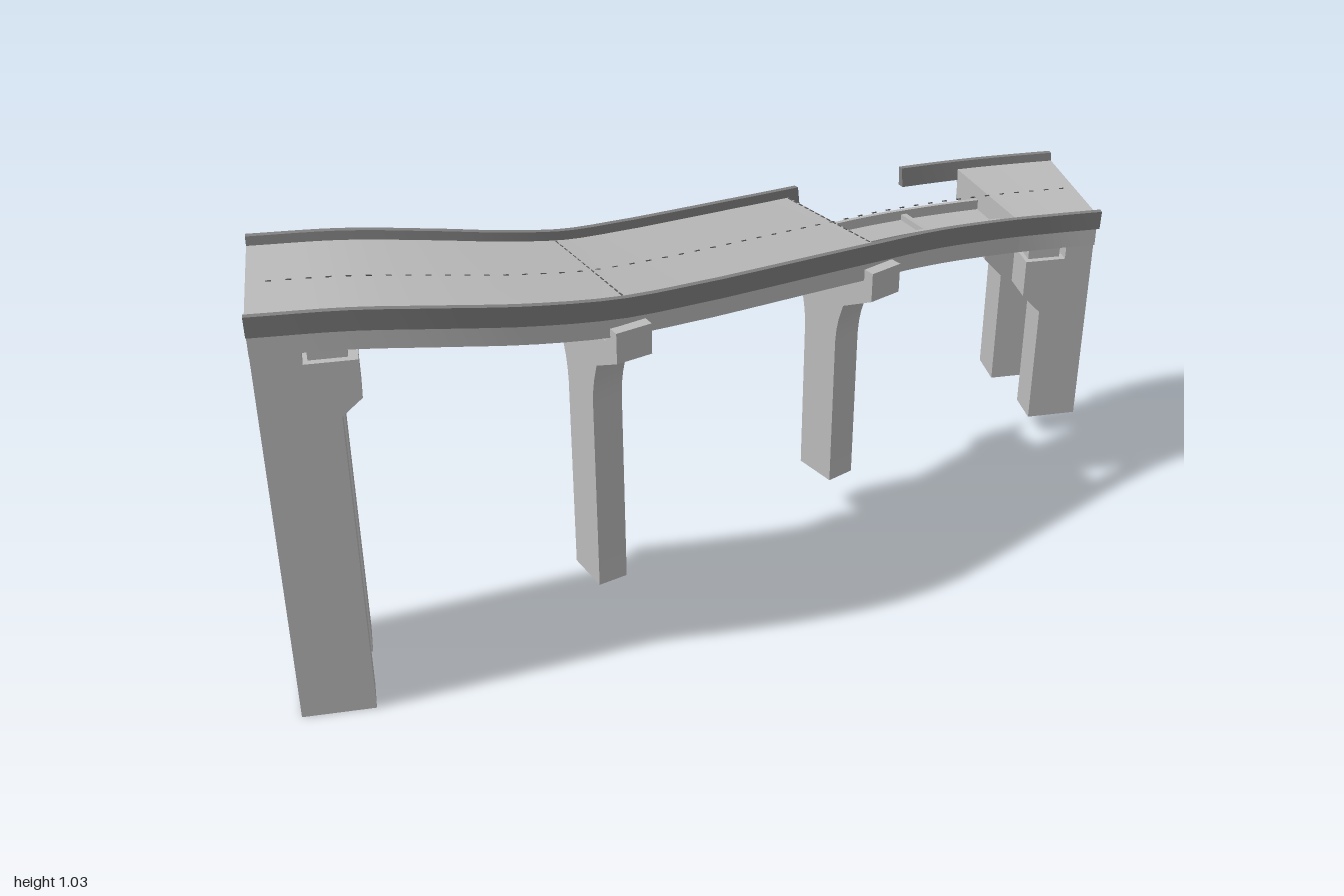
import * as THREE from 'three';
import { toCreasedNormals } from 'three/addons/utils/BufferGeometryUtils.js';

const mat = (name, color, side = THREE.FrontSide) => {
  const m = new THREE.MeshStandardMaterial({ color, side });
  m.name = name;
  return m;
};

export function createModel() {
  const root = new THREE.Group();
  root.name = 'brokenBridge';
  const concrete = mat('concrete', 0xbcbcbc);
  const parapetGrey = mat('parapetGrey', 0x828282);
  const markGrey = mat('markGrey', 0x5c5c5c);

  const add = (name, geo, material, parent = root) => {
    const m = new THREE.Mesh(geo, material);
    m.name = name;
    parent.add(m);
    return m;
  };
  const box = (name, x0, x1, y0, y1, z0, z1, material = concrete, parent = root) => {
    const m = add(name, new THREE.BoxGeometry(x1 - x0, y1 - y0, z1 - z0), material, parent);
    m.position.set((x0 + x1) / 2, (y0 + y1) / 2, (z0 + z1) / 2);
    return m;
  };

  // Centre line of the road; y is the height of the parapet tops
  const curve = new THREE.CatmullRomCurve3([
    [-1, 1.033, 0.28], [-0.8, 1.028, 0.28], [-0.62, 1.007, 0.272], [-0.45, 0.979, 0.25],
    [-0.29, 0.95, 0.205], [-0.12, 0.921, 0.123], [0, 0.902, 0.06], [0.17, 0.876, -0.03],
    [0.33, 0.852, -0.113], [0.46, 0.836, -0.175], [0.6, 0.82, -0.228], [0.77, 0.806, -0.27],
    [0.9, 0.801, -0.283], [1, 0.8, -0.285],
  ].map((p) => new THREE.Vector3(...p)));

  // Point and sideways direction on the centre line at a given x
  const at = (x) => {
    let lo = 0, hi = 1;
    for (let i = 0; i < 24; i++) {
      const mid = (lo + hi) / 2;
      if (curve.getPoint(mid).x < x) lo = mid; else hi = mid;
    }
    const p = curve.getPoint(lo), t = curve.getTangent(lo);
    p.x = x;
    const n = Math.abs(x) > 0.999 ? new THREE.Vector3(0, 0, 1) : new THREE.Vector3(-t.z, 0, t.x).normalize();
    return { p, n };
  };

  // Sweep a convex section [side offset, height], anticlockwise, along the road
  const sweep = (name, section, x0, x1, material = concrete, capStart = true, capEnd = true) => {
    const steps = Math.max(1, Math.ceil((x1 - x0) / 0.05));
    const rings = [];
    for (let i = 0; i <= steps; i++) {
      const { p, n } = at(x0 + ((x1 - x0) * i) / steps);
      rings.push(section.map(([o, h]) => [p.x + n.x * o, p.y + h, p.z + n.z * o]));
    }
    const pos = [], k = section.length;
    const tri = (a, b, c) => pos.push(...a, ...b, ...c);
    for (let i = 0; i < steps; i++) {
      for (let j = 0; j < k; j++) {
        const a = rings[i][j], b = rings[i][(j + 1) % k];
        const c = rings[i + 1][j], d = rings[i + 1][(j + 1) % k];
        tri(a, c, b);
        tri(b, c, d);
      }
    }
    for (let j = 1; j < k - 1; j++) {
      const s = rings[0], e = rings[steps];
      if (capStart) tri(s[0], s[j], s[j + 1]);
      if (capEnd) tri(e[0], e[j + 1], e[j]);
    }
    const g = new THREE.BufferGeometry();
    g.setAttribute('position', new THREE.Float32BufferAttribute(pos, 3));
    return add(name, toCreasedNormals(g, 0.5), material);
  };
  const rect = (a, b, lo, hi) => [[a, lo], [b, lo], [b, hi], [a, hi]];

  // Whole deck lengths on either side of the broken span
  const spans = [[-1, 0.33], [0.77, 1]];
  spans.forEach(([a, b], i) => {
    sweep('deckSlab', rect(-0.166, 0.166, -0.055, -0.02), a, b, concrete, i === 1, i === 0);
    sweep('centreSoffit', rect(-0.1, 0.1, -0.08, -0.055), a, b);
    for (const s of [-1, 1]) {
      sweep('edgeGirder', s > 0 ? rect(0.1, 0.162, -0.1, -0.055) : rect(-0.162, -0.1, -0.1, -0.055), a, b);
    }
  });

  // Broken span: bare central beam with side ribs, a cross rib and the surviving front edge
  sweep('bareBeam', rect(-0.06, 0.07, -0.095, -0.08), 0.33, 0.77);
  sweep('bareBeamRib', rect(-0.06, -0.05, -0.08, -0.055), 0.33, 0.77);
  sweep('bareBeamRib', rect(0.06, 0.07, -0.08, -0.055), 0.33, 0.77);
  sweep('crossRib', rect(-0.05, 0.06, -0.08, -0.065), 0.56, 0.575);
  sweep('frontEdge', rect(0.152, 0.162, -0.1, -0.05), 0.33, 0.77);

  // Parapets: unbroken at the front, with a gap at the back
  sweep('frontParapet', [[0.162, -0.048], [0.18, -0.048], [0.183, 0], [0.17, 0]], -1, 1, parapetGrey);
  for (const [a, b] of [[-1, 0.36], [0.63, 1]]) {
    sweep('backParapet', [[-0.18, -0.048], [-0.162, -0.048], [-0.17, 0], [-0.183, 0]], a, b, parapetGrey);
  }

  // Centre dashes and joints across the road
  for (let x = -0.96; x < 0.97; x += 0.04) {
    sweep('centreDash', rect(-0.0015, 0.0015, -0.0205, -0.0185), x, x + 0.012, markGrey);
  }
  for (const x of [-0.29, 0.325]) {
    for (let o = -0.16; o < 0.15; o += 0.02) {
      sweep('jointDash', rect(o, o + 0.012, -0.0205, -0.0185), x, x + 0.003, markGrey);
    }
  }

  // Extrude a side outline, centred, across the road
  const outline = (pts, depth) => {
    const g = new THREE.ExtrudeGeometry(new THREE.Shape(pts.map((p) => new THREE.Vector2(...p))),
      { depth, bevelEnabled: false });
    return g.translate(0, 0, -depth / 2);
  };
  const mirrored = (half) => [...half, ...half.slice().reverse().map(([x, y]) => [-x, y])];

  // Hammerhead piers
  const pier = (x, z, drop, turn) => {
    const g = new THREE.Group();
    g.name = 'pier';
    g.position.set(x, 0, z);
    g.rotation.y = turn;
    root.add(g);
    const column = mirrored([[0.056, 0.145], [0.056, 0.64 - drop], [0.059, 0.675 - drop],
      [0.065, 0.705 - drop], [0.073, 0.73 - drop], [0.08, 0.752 - drop]]);
    add('pierColumn', toCreasedNormals(outline(column, 0.072).rotateY(Math.PI / 2), 0.5), concrete, g);
    const cap = mirrored([[0.08, 0.75], [0.182, 0.805], [0.182, 0.878], [0.14, 0.878], [0.135, 0.838]]
      .map(([o, y]) => [o, y - drop]));
    add('pierCap', outline(cap, 0.085).rotateY(Math.PI / 2), concrete, g);
    for (const s of [-1, 1]) {
      box('bearing', -0.03, 0.03, 0.835 - drop, 0.856 - drop, s * 0.1 - 0.025, s * 0.1 + 0.025, concrete, g);
    }
  };
  pier(-0.29, 0.21, 0, 0.36);
  pier(0.333, -0.105, 0.092, 0.46);

  // End abutments: two corbelled wings joined by a web
  const wing = (pts, z0, z1, dx = 0) => {
    const m = add('abutmentWing', outline(pts, z1 - z0), concrete);
    m.position.set(dx, 0, (z0 + z1) / 2);
  };
  const leftWing = [[-1, 0], [-0.835, 0], [-0.835, 0.77], [-0.79, 0.81], [-0.79, 0.9],
    [-0.9, 0.9], [-0.9, 0.935], [-1, 0.935]];
  wing(leftWing, 0.355, 0.435);
  wing(leftWing, 0.145, 0.235);
  box('abutmentWeb', -1, -0.9, 0, 0.935, 0.235, 0.355);

  const rightWing = (d) => [[1, 0.21], [1, 0.705], [0.93, 0.705], [0.93, 0.665], [0.8 + d, 0.665],
    [0.8 + d, 0.57], [0.847 + d, 0.52], [0.847 + d, 0.21]];
  wing(rightWing(0.03), -0.215, -0.13);
  wing(rightWing(0), -0.432, -0.335);
  box('abutmentWeb', 0.93, 1, 0.21, 0.705, -0.335, -0.215);

  // Bearings on the abutments
  for (const z of [0.19, 0.395]) box('bearing', -0.89, -0.81, 0.9, 0.935, z - 0.025, z + 0.025);
  for (const z of [-0.385, -0.17]) box('bearing', 0.84, 0.92, 0.665, 0.703, z - 0.025, z + 0.025);

  return root;
}
